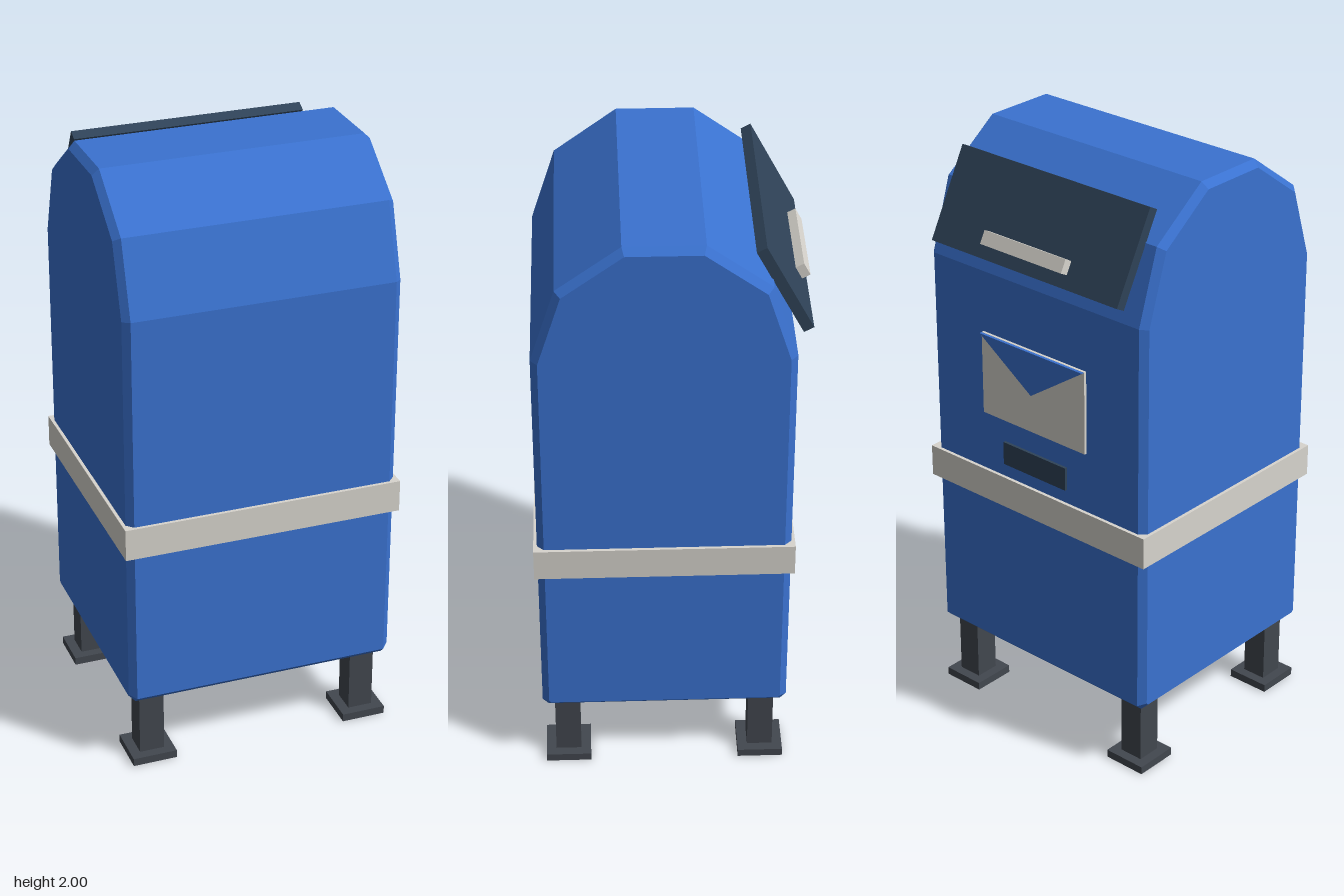
import * as THREE from 'three';

const mat = (name, color) => {
  const m = new THREE.MeshStandardMaterial({ color });
  m.name = name;
  return m;
};

export function createModel() {
  const blue = mat('bodyBlue', 0x3a72d0);
  const navy = mat('lidNavy', 0x2f4358);
  const grey = mat('trimGrey', 0xd8d5ce);
  const iron = mat('legIron', 0x42474f);

  const root = new THREE.Group();
  root.name = 'postBox';
  const zc = 0.023; // depth centre of the cabinet
  const back = -0.382; // plane of the cabinet's back face

  const add = (name, geometry, material, parent = root) => {
    const mesh = new THREE.Mesh(geometry, material);
    mesh.name = name;
    parent.add(mesh);
    return mesh;
  };
  const box = (name, size, pos, material, parent) => {
    const mesh = add(name, new THREE.BoxGeometry(...size), material, parent);
    mesh.position.set(...pos);
    return mesh;
  };

  // Cabinet: faceted arch profile, mirrored front to back, with bevelled sides
  const half = [[0.385, 0.245], [0.405, 0.265], [0.405, 1.61], [0.327, 1.853], [0.125, 2.0]];
  const mirrored = half.map(([z, y]) => [-z, y]).reverse();
  const profile = [...half, ...mirrored].map(([z, y]) => new THREE.Vector2(z + zc, y));
  const bevel = 0.022;
  const depth = 0.912 - 2 * bevel;
  const cabinet = new THREE.ExtrudeGeometry(new THREE.Shape(profile), {
    depth, bevelEnabled: true, bevelSegments: 1,
    bevelSize: bevel, bevelThickness: bevel, bevelOffset: -bevel,
  });
  cabinet.translate(0, 0, -depth / 2).rotateY(-Math.PI / 2);
  add('cabinet', cabinet, blue);

  // Band around the cabinet
  box('band', [0.934, 0.108, 0.833], [0, 0.852, zc], grey);

  // Four legs with foot plates
  for (const sx of [-1, 1]) {
    for (const sz of [-1, 1]) {
      const leg = new THREE.Group();
      leg.name = 'leg';
      leg.position.set(sx * 0.373, 0, zc + sz * 0.323);
      box('legPost', [0.084, 0.24, 0.084], [0, 0.14, 0], iron, leg);
      box('footPlate', [0.15, 0.027, 0.15], [0, 0.0135, 0], iron, leg);
      root.add(leg);
    }
  }

  // Tilted deposit lid with its pull handle
  const lid = new THREE.Group();
  lid.name = 'lid';
  lid.position.set(0, 1.813, -0.342);
  lid.rotation.x = 0.487;
  box('lidPanel', [0.78, 0.317, 0.035], [0, 0, 0], navy, lid);
  box('lidHandle', [0.34, 0.045, 0.03], [0, -0.093, -0.0315], grey, lid);
  root.add(lid);

  // Envelope emblem: plate and triangular flap
  box('envelope', [0.44, 0.285, 0.0095], [0, 1.258, back - 0.0047], grey);
  const flap = new THREE.Shape([
    new THREE.Vector2(-0.22, 1.4),
    new THREE.Vector2(0, 1.25),
    new THREE.Vector2(0.22, 1.4),
  ]);
  const flapGeo = new THREE.ExtrudeGeometry(flap, { depth: 0.0095, bevelEnabled: false });
  add('envelopeFlap', flapGeo, blue).position.z = back - 0.019;

  // Small plate under the envelope
  box('labelPlate', [0.27, 0.08, 0.0095], [0, 0.995, back - 0.0047], navy);

  return root;
}
